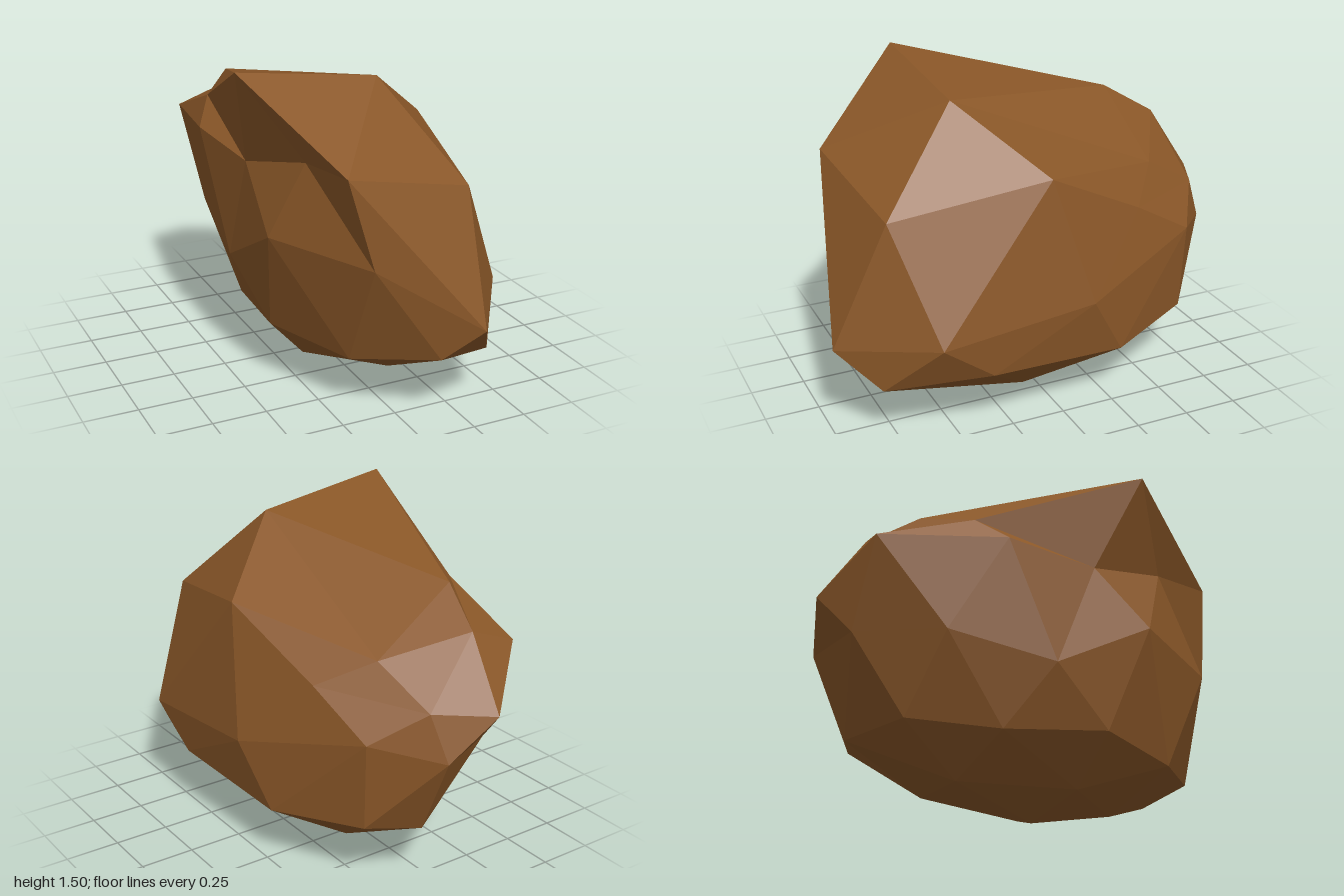
import * as THREE from 'three';

// Faceted boulder: rings of corners from the bottom pole to the top pole.
// Each ring runs from the front (+z) round through +x.
const bottom = [0.08, 0, 0.09];
const underside = [
  [0.1, 0.085, 0.49], [0.32, 0.085, 0.12], [0.17, 0.085, -0.4],
  [-0.1, 0.085, -0.33], [-0.19, 0.085, 0.2],
];
const lower = [
  [0.13, 0.3, 0.91], [0.41, 0.26, 0.82], [0.55, 0.3, 0.36], [0.5, 0.26, -0.29], [0.3, 0.3, -0.71],
  [0.05, 0.26, -0.79], [-0.2, 0.3, -0.6], [-0.33, 0.26, -0.2], [-0.38, 0.3, 0.27], [-0.18, 0.26, 0.66],
];
const middle = [
  [0.29, 0.44, 1], [0.57, 0.48, 0.6], [0.56, 0.55, -0.12], [0.31, 0.7, -0.73], [0.05, 0.63, -0.95],
  [-0.22, 0.65, -0.85], [-0.4, 0.65, -0.48], [-0.46, 0.55, 0], [-0.46, 0.79, 0.45], [-0.17, 0.74, 0.87],
];
const upper = [
  [-0.28, 1.14, 0.84], [0.33, 1, 0.75], [0.47, 1.13, 0.05], [0.37, 0.88, -0.43], [0.09, 0.84, -0.87],
  [-0.17, 0.81, -1], [-0.4, 1.04, -0.81], [-0.5, 1.09, -0.24], [-0.45, 1.05, 0.19], [-0.34, 1.14, 0.57],
];
const crown = [
  [0.09, 1.41, 0.36], [0.16, 1, -0.6], [-0.18, 1.12, -0.8],
  [-0.41, 1.2, -0.37], [-0.57, 1.5, 0.39],
];
const top = [-0.24, 1.26, -0.57];

const at = (ring, i) => ring[(i + ring.length) % ring.length];

// Triangles between two rings of ten; shift turns the upper ring by a step
function band(low, high, shift) {
  const faces = [];
  for (let j = 0; j < 10; j++) {
    faces.push([at(low, j), at(low, j + 1), at(high, j + shift)]);
    faces.push([at(high, j + shift), at(low, j + 1), at(high, j + shift + 1)]);
  }
  return faces;
}

// Triangles from a ring of ten through a ring of five to a pole
function cap(ten, five, pole, offset, flip) {
  const faces = [];
  for (let i = 0; i < 5; i++) {
    const k = 2 * i + offset;
    faces.push([at(ten, k), at(ten, k + 1), five[i]]);
    faces.push([at(ten, k - 1), at(ten, k), five[i]]);
    faces.push([five[i], at(ten, k + 1), at(five, i + 1)]);
    faces.push([five[i], at(five, i + 1), pole]);
  }
  return flip ? faces.map(([a, b, c]) => [a, c, b]) : faces;
}

export function createModel() {
  const brownStone = new THREE.MeshStandardMaterial({ color: 0x8a5728, flatShading: true });
  brownStone.name = 'brownStone';

  const faces = [
    ...cap(lower, underside, bottom, 0, true),
    ...band(lower, middle, 0),
    ...band(middle, upper, 1),
    ...cap(upper, crown, top, 1, false),
  ];
  const geometry = new THREE.BufferGeometry();
  geometry.setAttribute('position', new THREE.Float32BufferAttribute(faces.flat(2), 3));
  geometry.computeVertexNormals();

  const boulder = new THREE.Mesh(geometry, brownStone);
  boulder.name = 'boulder';
  const group = new THREE.Group();
  group.name = 'rock';
  group.add(boulder);
  return group;
}
